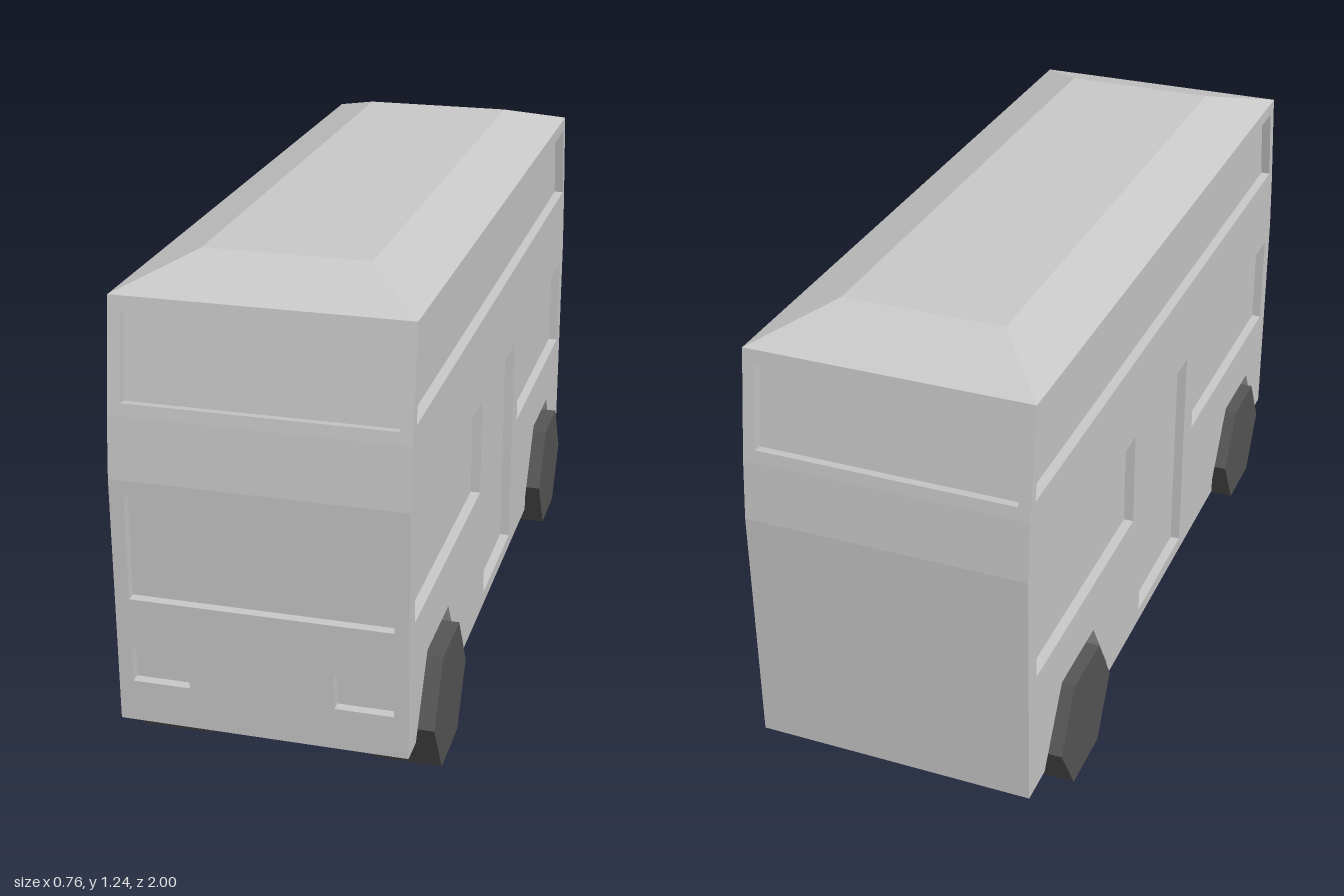
import * as THREE from 'three';

const HALF = 0.35;   // half width of the body
const SKIN = 0.025;  // wall thickness, also the depth of the window recesses
const EAVES = 1.18;

export function createModel() {
  const bodyPaint = new THREE.MeshStandardMaterial({ color: 0xc9c9c9 });
  bodyPaint.name = 'bodyGrey';
  const tyre = new THREE.MeshStandardMaterial({ color: 0x565656 });
  tyre.name = 'tyreGrey';

  const model = new THREE.Group();
  model.name = 'doubleDeckerBus';
  const body = new THREE.Group();
  body.name = 'body';
  body.position.x = -0.005;
  model.add(body);

  const add = (parent, name, geometry, material) => {
    const mesh = new THREE.Mesh(geometry, material);
    mesh.name = name;
    parent.add(mesh);
    return mesh;
  };
  const toPoints = (list) => list.map(([a, b]) => new THREE.Vector2(a, b));
  const rect = (x0, y0, x1, y1) => [[x0, y0], [x1, y0], [x1, y1], [x0, y1]];
  const plate = (outline, holes, depth) => {
    const shape = new THREE.Shape(toPoints(outline));
    holes.forEach((h) => shape.holes.push(new THREE.Path(toPoints(h))));
    return new THREE.ExtrudeGeometry(shape, { depth, bevelEnabled: false });
  };
  const flat = (geometry) => {
    const g = geometry.toNonIndexed();
    g.computeVertexNormals();
    return g;
  };

  // Side outline (z, y): ends pulled in by inset, with or without wheel arches
  const frontArch = [[0.485, 0.14], [0.6, 0.325], [0.82, 0.325], [0.93, 0.14]];
  const rearArch = [[-0.9, 0.14], [-0.785, 0.325], [-0.565, 0.325], [-0.455, 0.14]];
  const profile = (inset, arches) => [
    [-1 + inset, 0.14],
    ...(arches ? rearArch : [[-0.455, 0.14]]),
    [-0.455, 0.1], [0.485, 0.1],
    ...(arches ? frontArch : [[0.485, 0.14]]),
    [1 - inset, 0.14], [1 - inset, 0.76], [0.985 - inset, 0.91], [0.945 - inset, EAVES],
    [-0.945 + inset, EAVES], [-0.985 + inset, 0.91], [-1 + inset, 0.76],
  ];
  // Slab of the side outline between two x positions
  const slab = (name, outline, holes, x0, x1) => {
    const g = plate(outline, holes, x1 - x0);
    g.rotateY(-Math.PI / 2);
    g.translate(x1, 0, 0);
    add(body, name, g, bodyPaint);
  };

  // Inner core: its surface forms the recessed panes and the wheel wells
  const inner = HALF - SKIN;
  slab('centreCore', profile(SKIN, false), [], -0.2, 0.2);
  slab('leftCore', profile(SKIN, true), [], 0.2, inner);
  slab('rightCore', profile(SKIN, true), [], -inner, -0.2);

  // Side walls with upper window band, two lower windows and a door
  const sideOpenings = [
    [[-0.955, 0.945], [0.95, 0.945], [0.915, 1.145], [-0.92, 1.145]],
    rect(0.235, 0.465, 0.95, 0.72),
    rect(-0.2, 0.135, 0.16, 0.72),
    rect(-0.95, 0.465, -0.27, 0.72),
  ];
  slab('leftWall', profile(0, true), sideOpenings, inner, HALF);
  slab('rightWall', profile(0, true), sideOpenings, -HALF, -inner);

  // End wall section running from (y0, z0) up to (y1, z1)
  const endPanel = (parent, name, [y0, z0], [y1, z1], holes) => {
    const g = plate(rect(-inner, 0, inner, Math.hypot(y1 - y0, z1 - z0)), holes, SKIN);
    g.translate(0, 0, -SKIN);
    g.rotateX(-Math.atan2(z0 - z1, y1 - y0));
    g.translate(0, y0, z0);
    add(parent, name, g, bodyPaint);
  };
  const endWall = (name, lowerHoles) => {
    const wall = new THREE.Group();
    wall.name = name;
    body.add(wall);
    endPanel(wall, name + 'Lower', [0.14, 1], [0.76, 1], lowerHoles);
    endPanel(wall, name + 'Middle', [0.76, 1], [0.91, 0.985], []);
    endPanel(wall, name + 'Upper', [0.91, 0.985], [EAVES, 0.945],
      [rect(-0.32, 0.03, 0.32, 0.235)]);
    return wall;
  };
  endWall('frontWall', [
    rect(-0.315, 0.32, 0.315, 0.58),    // windscreen
    rect(-0.315, 0.105, -0.175, 0.19),  // headlights
    rect(0.175, 0.105, 0.315, 0.19),
  ]);
  endWall('backWall', []).rotation.y = Math.PI;

  // Hipped roof: box with its top face drawn in
  const roof = new THREE.BoxGeometry(2 * HALF, 0.06, 1.89);
  const p = roof.attributes.position;
  for (let i = 0; i < p.count; i++) {
    if (p.getY(i) > 0) {
      p.setX(i, Math.sign(p.getX(i)) * 0.2);
      p.setZ(i, Math.sign(p.getZ(i)) * 0.75);
    }
  }
  roof.translate(0, EAVES + 0.03, 0);
  add(body, 'roof', flat(roof), bodyPaint);

  // Six-sided wheels
  const wheel = flat(new THREE.CylinderGeometry(0.1732, 0.1732, 0.17, 6).rotateZ(Math.PI / 2));
  for (const [end, z] of [['front', 0.715], ['rear', -0.675]]) {
    for (const [side, sign] of [['Left', 1], ['Right', -1]]) {
      add(model, end + side + 'Wheel', wheel, tyre).position.set(sign * 0.294, 0.15, z);
    }
  }
  return model;
}
